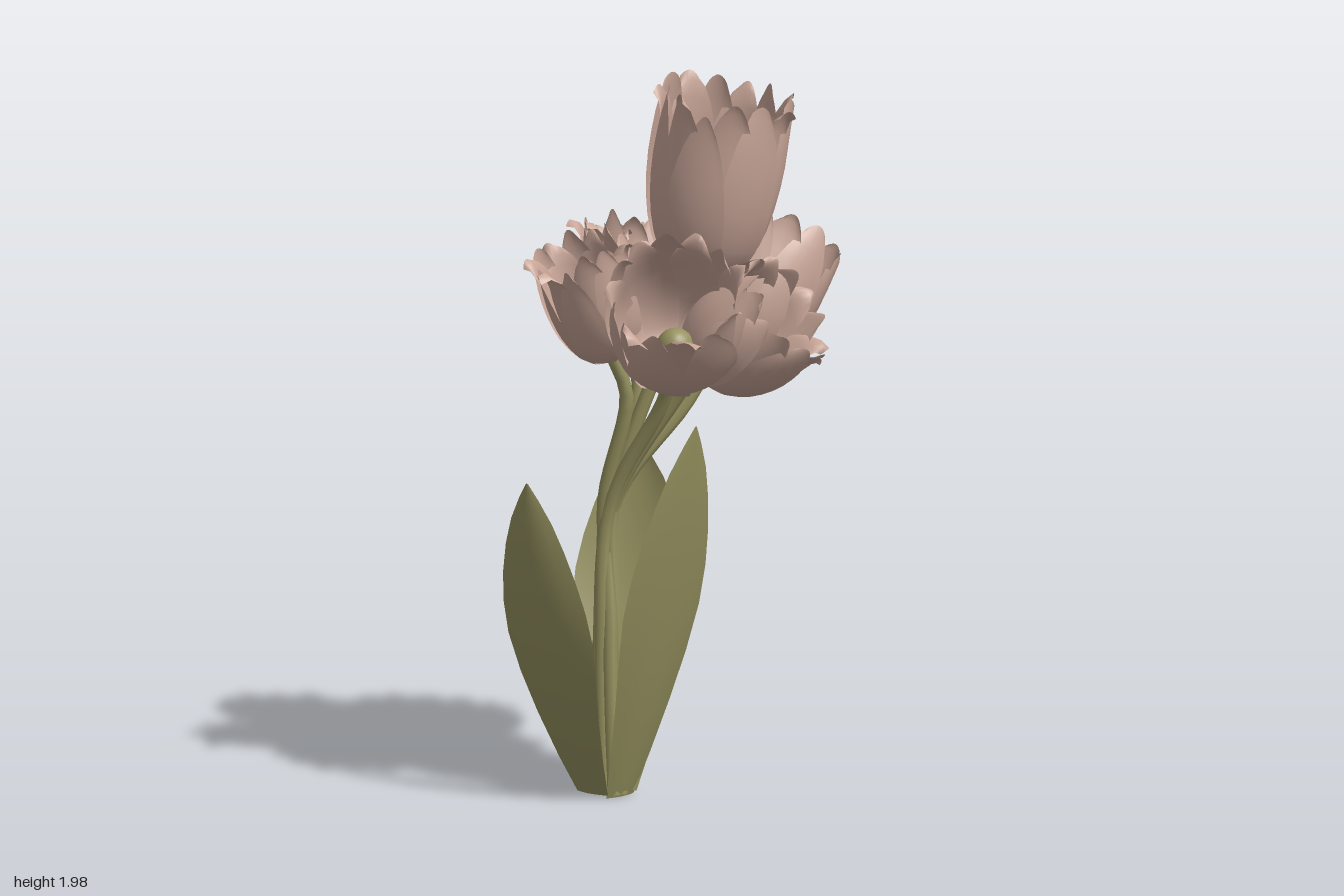
import * as THREE from 'three';

const V = (x, y, z) => new THREE.Vector3(x, y, z);
const petalMat = new THREE.MeshStandardMaterial({ color: 0xc9a698, side: THREE.DoubleSide });
petalMat.name = 'dusty pink petal';
const greenMat = new THREE.MeshStandardMaterial({ color: 0x969260, side: THREE.DoubleSide });
greenMat.name = 'olive green';

let seed = 7;
const rand = () => (seed = (seed * 16807) % 2147483647) / 2147483647;

// Sheet of rows x cols quads, placed by rule(t along, s across -1..1)
function sheet(rows, cols, rule) {
  const pos = [], idx = [];
  for (let i = 0; i <= rows; i++) {
    for (let j = 0; j <= cols; j++) {
      const p = rule(i / rows, (j / cols) * 2 - 1);
      pos.push(p.x, p.y, p.z);
    }
  }
  for (let i = 0; i < rows; i++) {
    for (let j = 0; j < cols; j++) {
      const a = i * (cols + 1) + j, b = a + cols + 1;
      idx.push(a, a + 1, b, a + 1, b + 1, b);
    }
  }
  const g = new THREE.BufferGeometry();
  g.setAttribute('position', new THREE.Float32BufferAttribute(pos, 3));
  g.setIndex(idx);
  g.computeVertexNormals();
  return g;
}

function mesh(geometry, material, name) {
  const m = new THREE.Mesh(geometry, material);
  m.name = name;
  return m;
}

const profile = points => new THREE.SplineCurve(points.map(p => new THREE.Vector2(...p)));

// Open cup: radius at height t, and petal half-width, both as a share of the radius
const cup = profile([[0.08, 0], [0.6, 0.1], [0.88, 0.3], [1, 0.55], [1, 0.8], [0.93, 1]]);
const petalWidth = profile([[0.08, 0], [0.32, 0.22], [0.48, 0.5], [0.46, 0.78], [0.33, 0.94], [0.12, 1]]);

// One petal wrapped round the cup, its tip optionally rolled outward
function petal(angle, radius, length, curl, scale) {
  return sheet(12, 6, (t, s) => {
    const c = cup.getPoint(t);
    const half = petalWidth.getPoint(t).x * radius * 1.05;
    const roll = Math.max(0, (t - 0.72) / 0.28);
    const r = c.x * radius * scale + curl * roll * roll + 0.012 * s * t;
    const a = angle + (s * half) / Math.max(r, radius * 0.35);
    const y = c.y * length - curl * 0.6 * roll * roll * roll - 0.02 * s * s * t;
    return V(Math.sin(a) * r, y, Math.cos(a) * r);
  });
}

// Flower head: outer and inner rings of petals round a ball
function flower(name, base, mouth, radius, ball) {
  const g = new THREE.Group();
  g.name = name;
  const axis = mouth.clone().sub(base);
  const length = axis.length();
  g.position.copy(base);
  g.quaternion.setFromUnitVectors(V(0, 1, 0), axis.normalize());
  const count = 7;
  for (let i = 0; i < count; i++) {
    const a = (i / count) * Math.PI * 2;
    const outer = petal(a, radius, length * (0.9 + 0.1 * rand()), 0.01 * rand(), 1);
    const inner = petal(a + Math.PI / count, radius, length * (0.98 + 0.06 * rand()),
      0.02 + 0.04 * rand(), 0.88);
    g.add(mesh(outer, petalMat, 'outerPetal'), mesh(inner, petalMat, 'innerPetal'));
  }
  const heart = mesh(new THREE.SphereGeometry(ball, 20, 14), greenMat, 'flowerHeart');
  heart.position.y = ball * 1.6;
  heart.scale.y = 1.25;
  g.add(heart);
  return g;
}

// Stem rising from the foot of the bunch, then bending off to a flower base
function stem(foot, base, mouth) {
  const dir = mouth.clone().sub(base).normalize();
  const path = new THREE.CatmullRomCurve3([
    foot,
    V(foot.x * 0.9 - 0.03, 0.45, foot.z * 0.8),
    V(-0.175 + base.x * 0.1, 0.8, 0.035 + base.z * 0.15),
    base.clone().add(V(-0.03 - base.x * 0.4, -0.1, -base.z * 0.25)),
    base.clone().addScaledVector(dir, 0.03),
  ]);
  return mesh(new THREE.TubeGeometry(path, 28, 0.02, 8), greenMat, 'stem');
}

// Leaf: centre line through three points, edges folded in toward the stems
const leafWidth = profile([[0.36, 0], [0.72, 0.25], [1, 0.5], [0.86, 0.7], [0.48, 0.88], [0.02, 1]]);
function leaf(base, mid, tip, half, across) {
  const control = mid.clone().multiplyScalar(2).addScaledVector(base, -0.5).addScaledVector(tip, -0.5);
  const spine = new THREE.QuadraticBezierCurve3(base, control, tip);
  const side = across.clone().normalize();
  const inward = V(-0.17 - mid.x, 0, 0.05 - mid.z);
  inward.addScaledVector(side, -inward.dot(side)).normalize();
  return mesh(sheet(10, 6, (t, s) => {
    const w = leafWidth.getPoint(t);
    return spine.getPoint(w.y)
      .addScaledVector(side, s * w.x * half)
      .addScaledVector(inward, s * s * w.x * half * 0.2);
  }), greenMat, 'leaf');
}

export function createModel() {
  const model = new THREE.Group();
  model.name = 'flowerBunch';

  // Flower heads: name, base, mouth centre, radius, ball radius
  const heads = [
    ['tallFlower', V(0.06, 1.42, -0.015), V(0.14, 1.97, -0.03), 0.18, 0.068],
    ['backFlower', V(0.06, 1.17, -0.1), V(0.2, 1.55, -0.32), 0.195, 0.055],
    ['frontFlower', V(0.03, 1.2, 0.11), V(0.11, 1.49, 0.34), 0.185, 0.055],
    ['rightFlower', V(0.06, 1.2, 0.04), V(0.36, 1.39, 0.05), 0.165, 0.05],
    ['smallBackFlower', V(-0.14, 1.22, -0.03), V(-0.185, 1.58, -0.13), 0.125, 0.045],
    ['smallFrontFlower', V(-0.15, 1.21, 0.09), V(-0.235, 1.55, 0.17), 0.13, 0.055],
  ];
  heads.forEach(([name, base, mouth, radius, ball], i) => {
    const a = (i / heads.length) * Math.PI * 2;
    const foot = V(-0.165 + 0.025 * Math.cos(a), 0.005, 0.06 + 0.025 * Math.sin(a));
    model.add(flower(name, base, mouth, radius, ball), stem(foot, base, mouth));
  });

  // Four leaves round the foot
  model.add(
    leaf(V(-0.13, 0, 0.07), V(0.02, 0.53, 0.13), V(0.11, 1.06, 0.17), 0.148, V(-0.5, 0, 1)),
    leaf(V(-0.21, 0.01, 0.11), V(-0.29, 0.46, 0.275), V(-0.33, 0.9, 0.3), 0.15, V(1, 0, 0.42)),
    leaf(V(-0.22, 0.02, 0.06), V(-0.4, 0.38, -0.02), V(-0.41, 0.71, -0.06), 0.12, V(-0.35, 0, 1)),
    leaf(V(-0.16, 0.01, 0.03), V(-0.18, 0.48, -0.175), V(-0.19, 0.93, -0.25), 0.16, V(1, 0, -0.1)),
  );
  return model;
}
